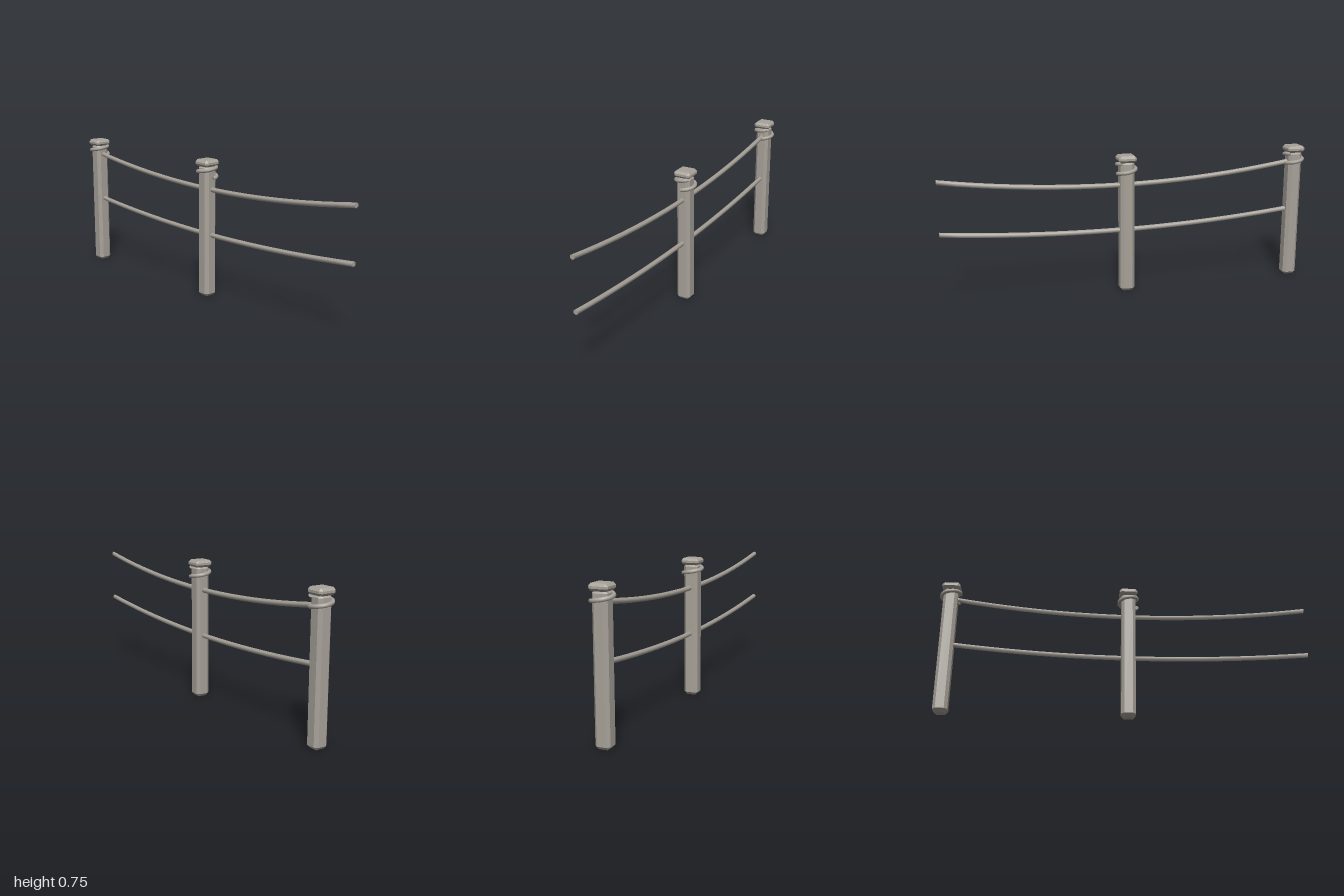
import * as THREE from 'three';
import { toCreasedNormals } from 'three/addons/utils/BufferGeometryUtils.js';
import { ConvexGeometry } from 'three/addons/geometries/ConvexGeometry.js';

const stone = new THREE.MeshStandardMaterial({ color: 0xa8a299 });
stone.name = 'weathered grey';

function part(name, geometry) {
  const mesh = new THREE.Mesh(geometry, stone);
  mesh.name = name;
  return mesh;
}

// Box with every edge cut off by the chamfer c, standing between y0 and y1
function chamferedBox(half, y0, y1, c) {
  const h = [half, (y1 - y0) / 2, half];
  const points = [];
  for (let axis = 0; axis < 3; axis++)
    for (const sx of [-1, 1]) for (const sy of [-1, 1]) for (const sz of [-1, 1]) {
      const p = [sx, sy, sz].map((s, i) => s * (i === axis ? h[i] : h[i] - c));
      points.push(new THREE.Vector3(p[0], p[1] + (y0 + y1) / 2, p[2]));
    }
  return new ConvexGeometry(points);
}

// Rope wound a little over once round the post, rising as it goes
function coil() {
  const group = new THREE.Group();
  group.name = 'ropeCoil';
  const degrees = [0];
  for (let k = 0; k < 9; k++) degrees.push(22.5 + 45 * k);
  degrees.push(405);
  const points = degrees.map((d, i) => {
    const a = THREE.MathUtils.degToRad(d);
    const r = i === 0 || i === degrees.length - 1 ? 0.047 : 0.05;
    return new THREE.Vector3(r * Math.cos(a), 0.649 + 0.051 * d / 360, -r * Math.sin(a));
  });
  const path = new THREE.CatmullRomCurve3(points);
  group.add(part('rope', new THREE.TubeGeometry(path, 40, 0.0105, 8)));
  // Cut ends
  for (const t of [0, 1]) {
    const end = part('ropeEnd', new THREE.CircleGeometry(0.0105, 8));
    const p = path.getPointAt(t);
    end.position.copy(p);
    end.lookAt(p.clone().addScaledVector(path.getTangentAt(t), t ? 1 : -1));
    group.add(end);
  }
  return group;
}

function post(x) {
  const group = new THREE.Group();
  group.name = 'post';
  group.position.x = x;
  group.add(
    part('shaft', chamferedBox(0.0385, 0, 0.717, 0.016)),
    part('cap', chamferedBox(0.0485, 0.71, 0.746, 0.0125)),
    coil()
  );
  return group;
}

// Six-sided rail along x, sagging in a parabola
function rail(name, endY, sag) {
  const x0 = -0.945, x1 = 1, mid = (x0 + x1) / 2, half = (x1 - x0) / 2;
  const geometry = new THREE.CylinderGeometry(0.0135, 0.0135, half * 2, 6, 20);
  geometry.rotateY(Math.PI / 6).rotateZ(Math.PI / 2);
  const pos = geometry.attributes.position;
  for (let i = 0; i < pos.count; i++) {
    const u = pos.getX(i) / half;
    pos.setXYZ(i, pos.getX(i) + mid, pos.getY(i) + endY - sag * (1 - u * u), pos.getZ(i));
  }
  return part(name, toCreasedNormals(geometry, 1.1));
}

export function createModel() {
  const model = new THREE.Group();
  model.name = 'ropeFence';
  model.add(post(-0.945), post(0.02));
  model.add(rail('upperRail', 0.663, 0.076), rail('lowerRail', 0.391, 0.051));
  return model;
}
